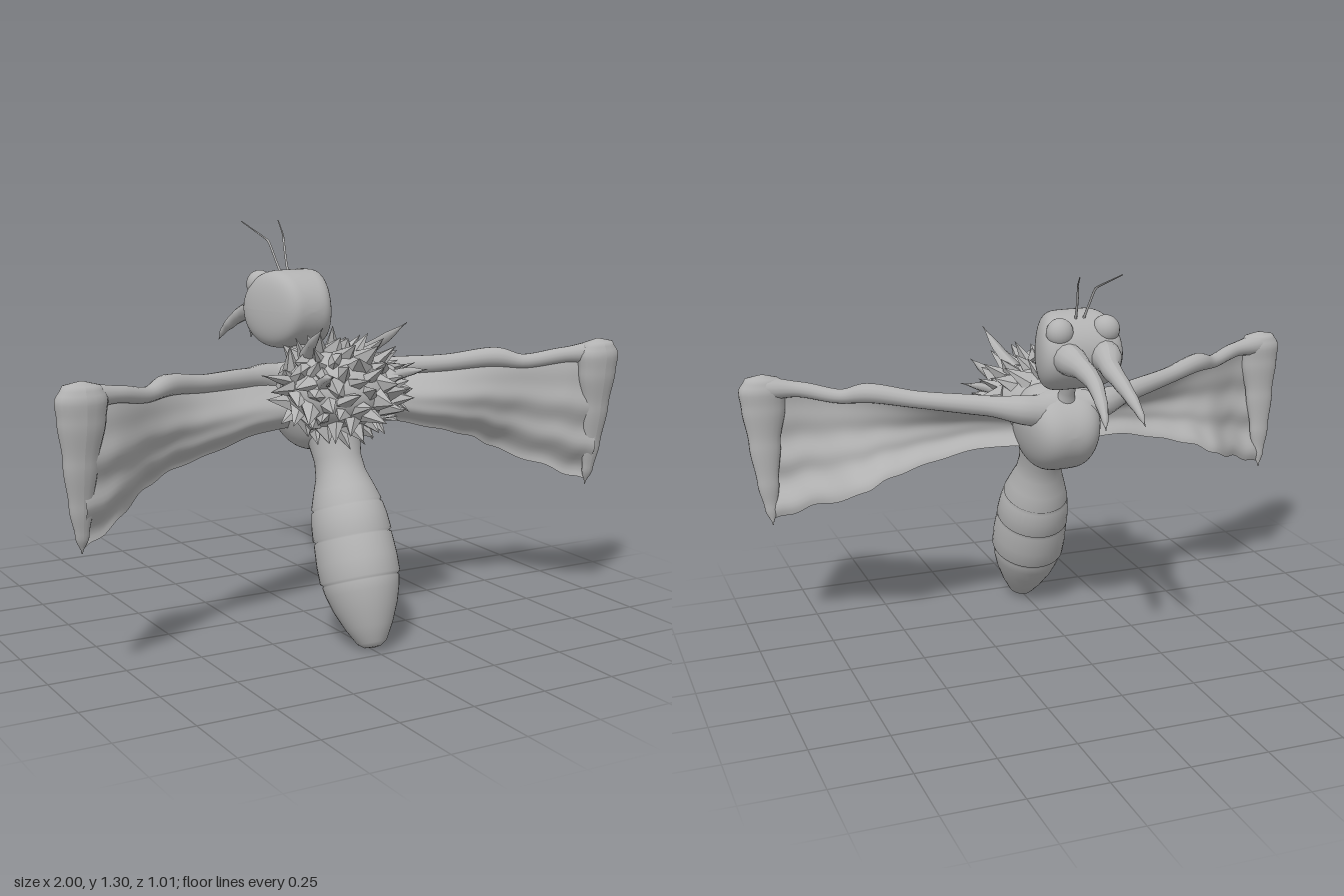
import * as THREE from 'three';

const V = (x, y, z) => new THREE.Vector3(x, y, z);
const skin = new THREE.MeshStandardMaterial({ color: 0xb2b2b2, side: THREE.DoubleSide });
skin.name = 'grey';

function add(group, name, geometry) {
  const mesh = new THREE.Mesh(geometry, skin);
  mesh.name = name;
  group.add(mesh);
  return mesh;
}

// Tube along [x, y, z, radius] points; stretch widens its section along x
function limb(points, side = 1, segments = 40, sides = 14, stretch = 1) {
  const curve = new THREE.CatmullRomCurve3(points.map(p => V(p[0] * side, p[1], p[2])));
  const geo = new THREE.TubeGeometry(curve, segments, 1, sides);
  const pos = geo.attributes.position, v = V(0, 0, 0), n = points.length - 1;
  for (let i = 0; i < pos.count; i++) {
    const u = Math.floor(i / (sides + 1)) / segments;
    const c = curve.getPointAt(u);
    const t = curve.getUtoTmapping(u) * n;
    const k = Math.min(Math.floor(t), n - 1);
    const r = THREE.MathUtils.lerp(points[k][3], points[k + 1][3], THREE.MathUtils.smoothstep(t - k, 0, 1));
    v.fromBufferAttribute(pos, i).sub(c).multiplyScalar(r);
    pos.setXYZ(i, c.x + v.x * stretch, c.y + v.y, c.z + v.z);
  }
  geo.computeVertexNormals();
  return geo;
}

// Sphere squared off along x, with a width rule over its unit position
function blob(hx, hy, hz, power, width) {
  const geo = new THREE.SphereGeometry(1, 64, 32).rotateX(Math.PI / 2);
  const pos = geo.attributes.position;
  for (let i = 0; i < pos.count; i++) {
    const x = pos.getX(i), y = pos.getY(i), z = pos.getZ(i);
    pos.setXYZ(i, Math.sign(x) * Math.abs(x) ** power * hx * width(y, z), y * hy, z * hz);
  }
  geo.computeVertexNormals();
  return geo;
}

// Thin webbing between the arm and the lower wing edge
function membrane(side) {
  const top = new THREE.CatmullRomCurve3([V(0.08, 0.8, 0), V(0.25, 0.82, 0.06), V(0.45, 0.83, 0.16),
    V(0.62, 0.85, 0.25), V(0.8, 0.86, 0.345), V(0.93, 0.87, 0.38)]);
  const low = new THREE.CatmullRomCurve3([V(0.08, 0.66, 0.1), V(0.25, 0.655, 0.14), V(0.42, 0.615, 0.165),
    V(0.56, 0.575, 0.165), V(0.66, 0.525, 0.18), V(0.79, 0.47, 0.29), V(0.91, 0.42, 0.345)]);
  const geo = new THREE.PlaneGeometry(1, 1, 48, 28);
  const pos = geo.attributes.position;
  for (let i = 0; i < pos.count; i++) {
    const u = pos.getX(i) + 0.5, v = 0.5 - pos.getY(i);
    const p = top.getPoint(u).lerp(low.getPoint(u), v);
    p.z += (0.08 - 0.05 * u) * Math.sin(Math.PI * v) + 0.016 * u * Math.sin(v * 19) * v;
    p.y += 0.006 * v * u * Math.sin(u * 40);
    pos.setXYZ(i, p.x * side, p.y, p.z);
  }
  geo.computeVertexNormals();
  return geo;
}

export function createModel() {
  const model = new THREE.Group();
  model.name = 'winged insect';

  // Head, boxy across and wider towards the face
  add(model, 'head', blob(0.126, 0.128, 0.138, 0.36, (y, z) => 1 - 0.28 * z - 0.04 * y))
    .position.set(0, 1.022, -0.07);

  // Neck
  add(model, 'neck', limb([[0, 0.95, -0.05, 0.03], [0, 0.87, -0.025, 0.026], [0, 0.8, 0.01, 0.045]]));

  // Thorax
  add(model, 'thorax', blob(0.134, 0.148, 0.185, 0.55, (y, z) => 1 + 0.12 * y))
    .position.set(0, 0.728, 0.09);

  // Abdomen with stepped segments, [radius, distance from tip]
  const profile = [[0, 0], [0.026, 0.004], [0.046, 0.018], [0.075, 0.07], [0.101, 0.13], [0.116, 0.18],
    [0.122, 0.212], [0.118, 0.217], [0.127, 0.224], [0.128, 0.28], [0.124, 0.35], [0.117, 0.356],
    [0.125, 0.362], [0.121, 0.41], [0.114, 0.45], [0.107, 0.456], [0.112, 0.462], [0.097, 0.51],
    [0.08, 0.56], [0.075, 0.61], [0.083, 0.67], [0.09, 0.71]];
  const abdomen = add(model, 'abdomen', new THREE.LatheGeometry(profile.map(p => new THREE.Vector2(...p)), 36));
  abdomen.position.set(0, 0.002, 0.452);
  abdomen.rotation.x = -0.38;
  abdomen.scale.z = 1.06;

  for (const side of [1, -1]) {
    const label = side > 0 ? 'left' : 'right';

    // Eye, sunk into the upper corner of the face
    const eye = add(model, label + 'Eye', new THREE.SphereGeometry(1, 20, 14));
    eye.scale.set(0.045, 0.046, 0.042);
    eye.position.set(0.078 * side, 1.098, -0.16);
    eye.rotation.y = 0.4 * side;

    // Curved mandible
    add(model, label + 'Mandible', limb([[0.065, 1.02, -0.14, 0.06], [0.06, 1.018, -0.21, 0.049],
      [0.044, 1, -0.28, 0.033], [0.042, 0.977, -0.36, 0.026], [0.05, 0.94, -0.43, 0.02],
      [0.058, 0.903, -0.48, 0.012], [0.064, 0.87, -0.506, 0.001]], side));

    // Bent antenna
    add(model, label + 'Antenna', limb([[0.012, 1.12, -0.125, 0.005], [0.02, 1.18, -0.16, 0.004],
      [0.03, 1.238, -0.193, 0.004], [0.036, 1.246, -0.205, 0.003], [0.07, 1.296, -0.307, 0.002]], side, 24, 6));

    // Wing arm, outer finger and webbing
    const wing = new THREE.Group();
    wing.name = label + 'Wing';
    model.add(wing);
    add(wing, 'arm', limb([[0.03, 0.79, 0.03, 0.08], [0.12, 0.808, 0.008, 0.05], [0.25, 0.823, 0.065, 0.034],
      [0.45, 0.838, 0.165, 0.029], [0.6, 0.856, 0.24, 0.033], [0.68, 0.842, 0.285, 0.024],
      [0.8, 0.862, 0.345, 0.026], [0.92, 0.868, 0.378, 0.04]], side, 56));
    add(wing, 'finger', limb([[0.918, 0.915, 0.38, 0.002], [0.919, 0.902, 0.38, 0.034], [0.92, 0.86, 0.38, 0.048],
      [0.92, 0.8, 0.378, 0.044], [0.923, 0.68, 0.37, 0.032], [0.921, 0.55, 0.358, 0.022],
      [0.917, 0.46, 0.35, 0.013], [0.915, 0.405, 0.34, 0.001]], side, 40, 18, 1.65));
    add(wing, 'webbing', membrane(side));
  }

  // Shaggy ruff: a dome covered with broad jagged tufts leaning backwards
  const ruff = new THREE.Group();
  ruff.name = 'ruff';
  model.add(ruff);
  const centre = V(0, 0.795, 0.225), half = V(0.185, 0.13, 0.18);
  const dome = add(ruff, 'ruffBase', new THREE.SphereGeometry(1, 24, 16));
  dome.position.copy(centre);
  dome.scale.copy(half);
  let seed = 7;
  const rand = () => (seed = (seed * 16807) % 2147483647) / 2147483647;
  const count = 120;
  for (let i = 0; i < count; i++) {
    // Even spread over the sphere, skipping the side against the thorax
    const y = 1 - 2 * (i + 0.5) / count, a = i * 2.39996, r = Math.sqrt(1 - y * y);
    const n = V(r * Math.cos(a), y, r * Math.sin(a));
    if (n.z < -0.15 - 0.7 * Math.max(0, n.y)) continue;
    const length = 0.06 + 0.05 * rand();
    const geo = new THREE.ConeGeometry(0.034 + 0.018 * rand(), length, 5).translate(0, length * 0.25, 0)
      .scale(1, 1, 0.6).toNonIndexed();
    geo.computeVertexNormals();
    const tuft = add(ruff, 'tuft', geo);
    tuft.position.copy(n).multiply(half).add(centre);
    const lean = V(rand() - 0.5, rand() - 0.5, rand() * 0.7 + 0.1);
    const dir = n.clone().add(lean).normalize();
    tuft.quaternion.setFromUnitVectors(V(0, 1, 0), dir);
    tuft.rotateY(rand() * 3);
  }

  // Long bristles standing out of the ruff
  for (const side of [1, -1]) {
    add(ruff, 'upperBristle', limb([[0.1, 0.9, 0.2, 0.025], [0.13, 0.955, 0.29, 0.017], [0.15, 1.015, 0.39, 0.001]], side, 10, 5));
    add(ruff, 'backBristle', limb([[0.11, 0.83, 0.32, 0.025], [0.145, 0.86, 0.4, 0.016], [0.165, 0.88, 0.485, 0.001]], side, 10, 5));
    add(ruff, 'sideBristle', limb([[0.14, 0.82, 0.22, 0.025], [0.2, 0.84, 0.23, 0.016], [0.28, 0.86, 0.24, 0.001]], side, 10, 5));
  }
  return model;
}
